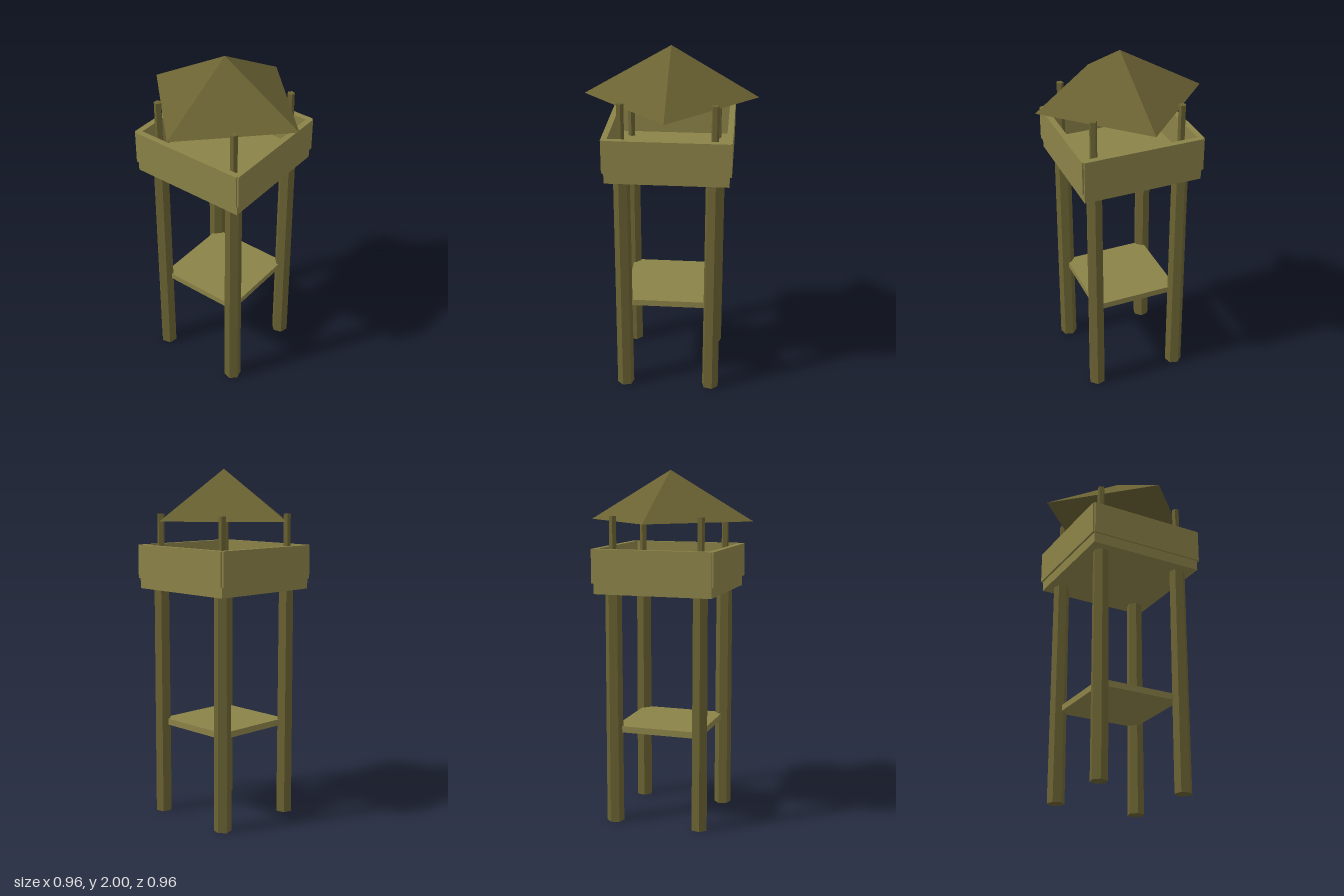
import * as THREE from 'three';

export function createModel() {
  const model = new THREE.Group();
  model.name = 'watchtower';

  const plank = new THREE.MeshStandardMaterial({ color: 0x8b8348, flatShading: true });
  plank.name = 'light plank';
  const timber = new THREE.MeshStandardMaterial({ color: 0x6b6333, flatShading: true });
  timber.name = 'dark timber';

  const add = (parent, name, geometry, material, x, y, z) => {
    const mesh = new THREE.Mesh(geometry, material);
    mesh.name = name;
    mesh.position.set(x, y, z);
    parent.add(mesh);
    return mesh;
  };

  // Shelf between the legs, and the lookout floor
  add(model, 'shelf', new THREE.BoxGeometry(0.5, 0.036, 0.5), plank, 0, 0.543, 0);
  add(model, 'floor', new THREE.BoxGeometry(0.675, 0.06, 0.675), plank, 0, 1.355, 0);

  // Each quarter turn has one wall, one six-sided leg and one five-sided roof post
  const wall = new THREE.BoxGeometry(0.68, 0.19, 0.033);
  const leg = new THREE.CylinderGeometry(0.046, 0.049, 1.34, 6);
  const post = new THREE.CylinderGeometry(0.021, 0.021, 0.37, 5);
  for (let i = 0; i < 4; i++) {
    const side = new THREE.Group();
    side.name = `side${i + 1}`;
    side.rotation.y = i * Math.PI / 2;
    add(side, 'wall', wall, plank, 0, 1.479, 0.333);
    add(side, 'leg', leg, timber, -0.252, 0.67, 0.252).rotation.y = -Math.PI / 12;
    add(side, 'roofPost', post, timber, -0.253, 1.565, 0.253).rotation.y = 0.25;
    model.add(side);
  }

  // Pyramid roof, turned so its corners point along the axes
  add(model, 'roof', new THREE.ConeGeometry(0.48, 0.28, 4), timber, 0, 1.86, 0);

  return model;
}
